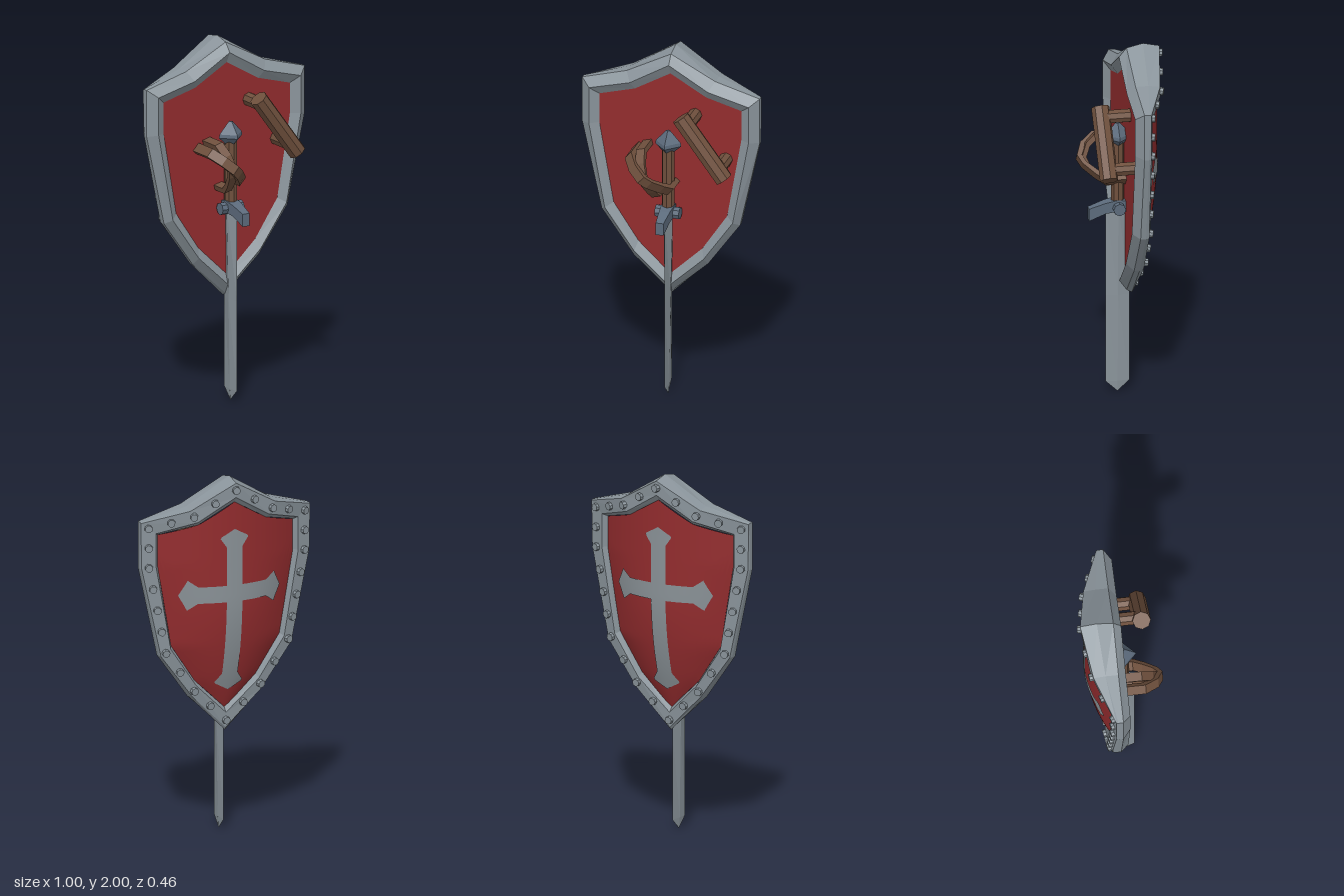
import * as THREE from 'three';

const mat = (name, color) => {
  const m = new THREE.MeshStandardMaterial({ color });
  m.name = name;
  m.flatShading = true;
  return m;
};

// Linear interpolation through a short list of [a, b] pairs sorted by a.
function interp(pts, a) {
  if (a <= pts[0][0]) return pts[0][1];
  for (let i = 1; i < pts.length; i++) {
    const [a0, b0] = pts[i - 1], [a1, b1] = pts[i];
    if (a <= a1) return b0 + (b1 - b0) * (a - a0) / (a1 - a0);
  }
  return pts[pts.length - 1][1];
}

// Skin over closed rings of equal length.
function loft(rings, caps = false) {
  const n = rings[0].length, index = [];
  for (let r = 0; r < rings.length - 1; r++)
    for (let j = 0; j < n; j++) {
      const a = r * n + j, b = r * n + (j + 1) % n;
      index.push(a, b, a + n, b, b + n, a + n);
    }
  if (caps) {
    const e = (rings.length - 1) * n;
    for (let j = 1; j < n - 1; j++) index.push(0, j + 1, j, e, e + j, e + j + 1);
  }
  const g = new THREE.BufferGeometry();
  g.setAttribute('position', new THREE.Float32BufferAttribute(rings.flat(2), 3));
  g.setIndex(index);
  g.computeVertexNormals();
  return g;
}

// Smooth sheet facing -z: u runs along x, v runs up.
function sheet(fn, nu, nv) {
  const pos = [], index = [], row = nu + 1;
  for (let j = 0; j <= nv; j++) for (let i = 0; i <= nu; i++) pos.push(...fn(i / nu, j / nv));
  for (let j = 0; j < nv; j++)
    for (let i = 0; i < nu; i++) {
      const a = j * row + i;
      index.push(a, a + row, a + 1, a + 1, a + row, a + row + 1);
    }
  const g = new THREE.BufferGeometry();
  g.setAttribute('position', new THREE.Float32BufferAttribute(pos, 3));
  g.setIndex(index);
  g.computeVertexNormals();
  return g;
}

// Half outlines of the shield, from top point round to bottom point.
const OUTER = [[0, 2], [0.25, 1.85], [0.5, 1.78], [0.5, 1.52], [0.39, 1.02], [0.21, 0.77], [0, 0.565]];
const EDGE = [[0, 1.98], [0.25, 1.84], [0.5, 1.775], [0.495, 1.52], [0.385, 1.02], [0.205, 0.78], [0, 0.58]];
const RIDGE = [[0, 1.93], [0.22, 1.8], [0.45, 1.74], [0.45, 1.53], [0.36, 1.045], [0.195, 0.81], [0, 0.63]];
const LIP = [[0, 1.9], [0.21, 1.775], [0.42, 1.715], [0.42, 1.53], [0.335, 1.06], [0.185, 0.84], [0, 0.665]];
const PANEL = [[0, 1.87], [0.2, 1.755], [0.4, 1.7], [0.4, 1.53], [0.32, 1.07], [0.18, 0.86], [0, 0.69]];
const panelTop = PANEL.slice(0, 3);
const panelBottom = PANEL.slice(3).reverse();
const panelWidth = panelBottom.map(([x, y]) => [y, x + 0.02]);

// Curved back of the panel.
function dome(x, y) {
  const w = interp(panelWidth, y);
  const fy = 1 - Math.max(0, (1.35 - y) / 0.66) ** 2;
  return -0.05 - 0.135 * Math.max(0, 1 - (x / w) ** 2) * Math.max(0, fy);
}

// Full ring from a half outline; z is a number or one value per point.
function ring(half, z) {
  const r = half.map(([x, y], i) => [x, y, Array.isArray(z) ? z[i] : z]);
  return [...r, ...r.slice(1, -1).reverse().map(([x, y, d]) => [-x, y, d])];
}

// Band that arches forward from point a to point b on the panel.
function strap(a, b, h, halfWidth) {
  const path = [[0, -0.1], [0, 0.55], [0.2, 0.87], [0.45, 1], [0.62, 0.9], [0.85, 0.62], [1, 0.38], [1, -0.1]];
  const d = new THREE.Vector2(b[0] - a[0], b[1] - a[1]);
  const n = new THREE.Vector2(-d.y, d.x).setLength(halfWidth);
  const at = (t, z, s) => [a[0] + d.x * t + n.x * s, a[1] + d.y * t + n.y * s, z];
  return loft(path.map(([t, k]) => {
    const ti = 0.1 + 0.8 * t, zi = k * h * 0.88;
    return [at(t, k * h, 1), at(t, k * h, -1), at(ti, zi, -1), at(ti, zi, 1)];
  }), true);
}

// Cylinder between two points.
function rod(p, q, r0, r1, sides) {
  const a = new THREE.Vector3(...p), b = new THREE.Vector3(...q), d = b.clone().sub(a);
  const g = new THREE.CylinderGeometry(r1, r0, d.length(), sides);
  g.applyQuaternion(new THREE.Quaternion().setFromUnitVectors(new THREE.Vector3(0, 1, 0), d.normalize()));
  return g.translate(...a.add(b).multiplyScalar(0.5).toArray());
}

export function createModel() {
  const model = new THREE.Group();
  model.name = 'shieldAndSword';
  const steel = mat('steel', 0x8a949b);
  const darkSteel = mat('blueSteel', 0x5c6b7c);
  const wood = mat('wood', 0x6f503d);
  const red = mat('red', 0x932c2e);
  red.flatShading = false;
  const emblem = mat('emblemGrey', 0x8a9297);
  emblem.flatShading = false;
  const add = (name, geo, material, parent = model) => {
    const m = new THREE.Mesh(geo, material);
    m.name = name;
    parent.add(m);
    return m;
  };

  // Shield rim
  const backOuter = ring(EDGE, [-0.21, -0.165, -0.068, -0.068, -0.078, -0.085, -0.07]);
  const backInner = ring(LIP, [-0.207, -0.175, -0.09, -0.09, -0.095, -0.095, -0.075]);
  add('shieldRim', loft([
    ring(PANEL, -0.02), ring(RIDGE, 0.012), ring(EDGE.map((p, i) => i === 0 || i === 6 ? p : OUTER[i]), -0.03),
    ring(OUTER, [-0.12, -0.1, -0.058, -0.055, -0.06, -0.06, -0.06]),
    backOuter, backInner, ring(PANEL, PANEL.map(([x, y]) => dome(x, y))),
  ]), steel);

  // Shield panel: flat front, curved back
  const outline = new THREE.Shape(ring(PANEL, 0).map(([x, y]) => new THREE.Vector2(x, y)));
  add('panelFront', new THREE.ShapeGeometry(outline).translate(0, 0, -0.02), red);
  add('panelBack', sheet((u, v) => {
    const x = -0.4 + 0.8 * u, b = interp(panelBottom, Math.abs(x)), t = interp(panelTop, Math.abs(x));
    const y = b + (t - b) * v;
    return [x, y, dome(x, y)];
  }, 40, 28), red);

  // Painted cross with flared, pointed ends
  const cross = new THREE.Group();
  cross.name = 'cross';
  model.add(cross);
  const cy = 1.36;
  const flare = (s, len) => interp([[0, 0.046], [len - 0.1, 0.046], [len - 0.045, 0.085],
    [len - 0.03, 0.055], [len, 0]], s);
  const onDome = (x, y) => [x, y, dome(x, y) - 0.006];
  add('crossUpright', sheet((u, v) => {
    const s = -0.56 + 0.92 * v;
    return onDome((2 * u - 1) * flare(Math.abs(s), s < 0 ? 0.56 : 0.36), cy + s);
  }, 6, 92), emblem, cross);
  for (const side of [-1, 1])
    add('crossArm', sheet((u, v) => {
      const s = 0.04 + 0.26 * (side > 0 ? u : 1 - u);
      return onDome(side * s, cy + (2 * v - 1) * flare(s, 0.3));
    }, 52, 6), emblem, cross);

  // Rivets along the middle of the rim's back
  const rivets = new THREE.Group();
  rivets.name = 'rivets';
  model.add(rivets);
  const steps = [2, 2, 2, 4, 2, 2];
  const N = backOuter.length;
  for (let i = 0; i < N; i++) {
    const n = steps[i < 6 ? i : N - 1 - i], k = (i + 1) % N;
    const [o0, o1, i0, i1] = [backOuter[i], backOuter[k], backInner[i], backInner[k]].map(p => new THREE.Vector3(...p));
    const p0 = o0.clone().lerp(i0, 0.5), p1 = o1.clone().lerp(i1, 0.5);
    const normal = p1.clone().sub(p0).cross(i0.clone().add(i1).sub(o0).sub(o1)).normalize();
    for (let j = 0; j < n; j++) {
      const p = p0.clone().lerp(p1, j / n);
      const a = p.clone().addScaledVector(normal, -0.01), b = p.clone().addScaledVector(normal, 0.018);
      add('rivet', rod(a.toArray(), b.toArray(), 0.023, 0.021, 8), steel, rivets);
    }
  }

  // Hand grip on two posts
  add('handleBar', rod([0.105, 1.688, 0.135], [0.35, 1.357, 0.135], 0.05, 0.05, 8), wood);
  for (const [x, y] of [[0.14, 1.645], [0.313, 1.405]])
    add('handlePost', rod([x, y, -0.03], [x, y, 0.12], 0.038, 0.038, 8), wood);

  // Two arm straps
  add('outerStrap', strap([-0.195, 1.425], [0.035, 1.22], 0.228, 0.027), wood);
  add('innerStrap', strap([-0.13, 1.462], [-0.05, 1.175], 0.2, 0.025), wood);

  // Sword, edge towards the front
  const sword = new THREE.Group();
  sword.name = 'sword';
  sword.position.z = 0.02;
  model.add(sword);
  const blade = [[1.08, 0.026, 0.065], [0.56, 0.013, 0.065], [0.06, 0.006, 0.065], [0, 0.002, 0.001]];
  add('blade', loft(blade.map(([y, t, w]) => [[t, y, 0], [0, y, w], [-t, y, 0], [0, y, -w]]), true), steel, sword);
  add('grip', rod([0, 1.08, 0], [0, 1.45, 0], 0.035, 0.035, 8), wood, sword);
  const profile = [[0, 1.43], [0.035, 1.43], [0.073, 1.465], [0.07, 1.485], [0.012, 1.55], [0, 1.55]];
  add('pommel', new THREE.LatheGeometry(profile.map(p => new THREE.Vector2(...p)), 4), darkSteel, sword);
  const guard = [[-0.07, 1.1, 1.04, 0.03], [0.0, 1.115, 1.05, 0.036], [0.07, 1.1, 1.04, 0.03], [0.16, 1.07, 1.0, 0.022]];
  add('guard', loft(guard.map(([z, t, b, w]) => [[w, t, z], [-w, t, z], [-w, b, z], [w, b, z]]), true), darkSteel, sword);
  add('guardBoss', rod([-0.068, 1.07, 0], [0.068, 1.07, 0], 0.034, 0.034, 8), darkSteel, sword);
  return model;
}
